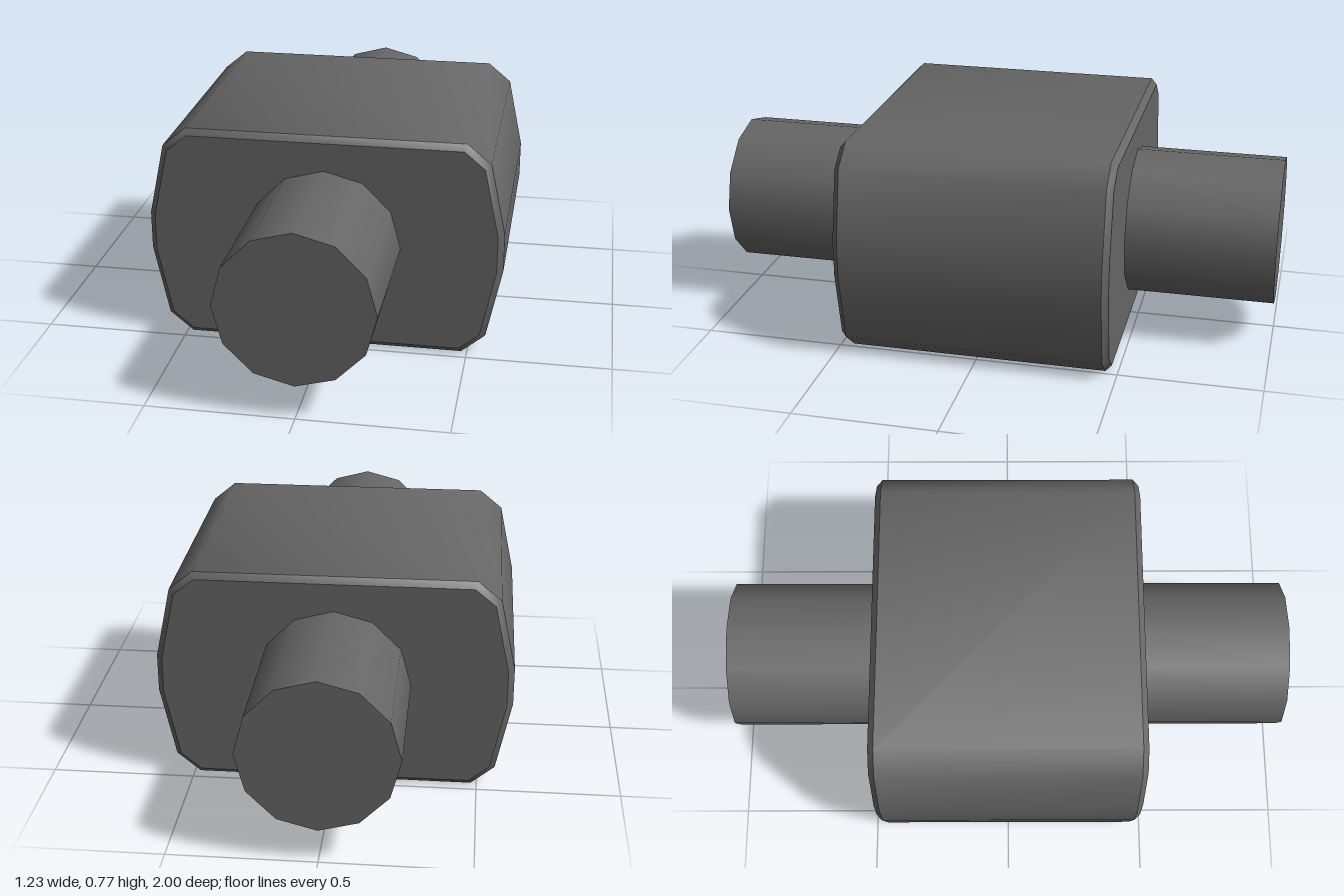
import * as THREE from 'three';
import { toCreasedNormals } from 'three/addons/utils/BufferGeometryUtils.js';

export function createModel() {
  const group = new THREE.Group();
  const grey = new THREE.MeshStandardMaterial({ color: 0x666666 });
  grey.name = 'dark grey';
  const midY = 0.384;

  // Housing: eight-cornered block with bowed sides and chamfered ends
  const quarter = [[0.615, 0.066], [0.562, 0.316], [0.48, 0.384]];
  const half = [...quarter, ...quarter.map(([x, y]) => [-x, y]).reverse()];
  const outline = [...half, ...half.map(([x, y]) => [-x, -y])];
  const bevel = 0.021, halfDepth = 0.477;
  const block = new THREE.ExtrudeGeometry(
    new THREE.Shape(outline.map(([x, y]) => new THREE.Vector2(x, y))),
    {
      depth: 2 * (halfDepth - bevel),
      bevelSegments: 1,
      bevelSize: bevel,
      bevelThickness: bevel,
      bevelOffset: -bevel,
    }
  );
  block.translate(0, midY, bevel - halfDepth);
  const housing = new THREE.Mesh(toCreasedNormals(block, 0.74), grey);
  housing.name = 'housing';
  group.add(housing);

  // Shaft stubs: twelve-sided, front and back
  const length = 1 - halfDepth + 0.02;
  for (const [name, side] of [['frontShaft', 1], ['backShaft', -1]]) {
    const shaft = new THREE.Mesh(new THREE.CylinderGeometry(0.265, 0.265, length, 12), grey);
    shaft.name = name;
    shaft.rotation.x = Math.PI / 2;
    shaft.position.set(0, midY, side * (1 - length / 2));
    group.add(shaft);
  }
  return group;
}
